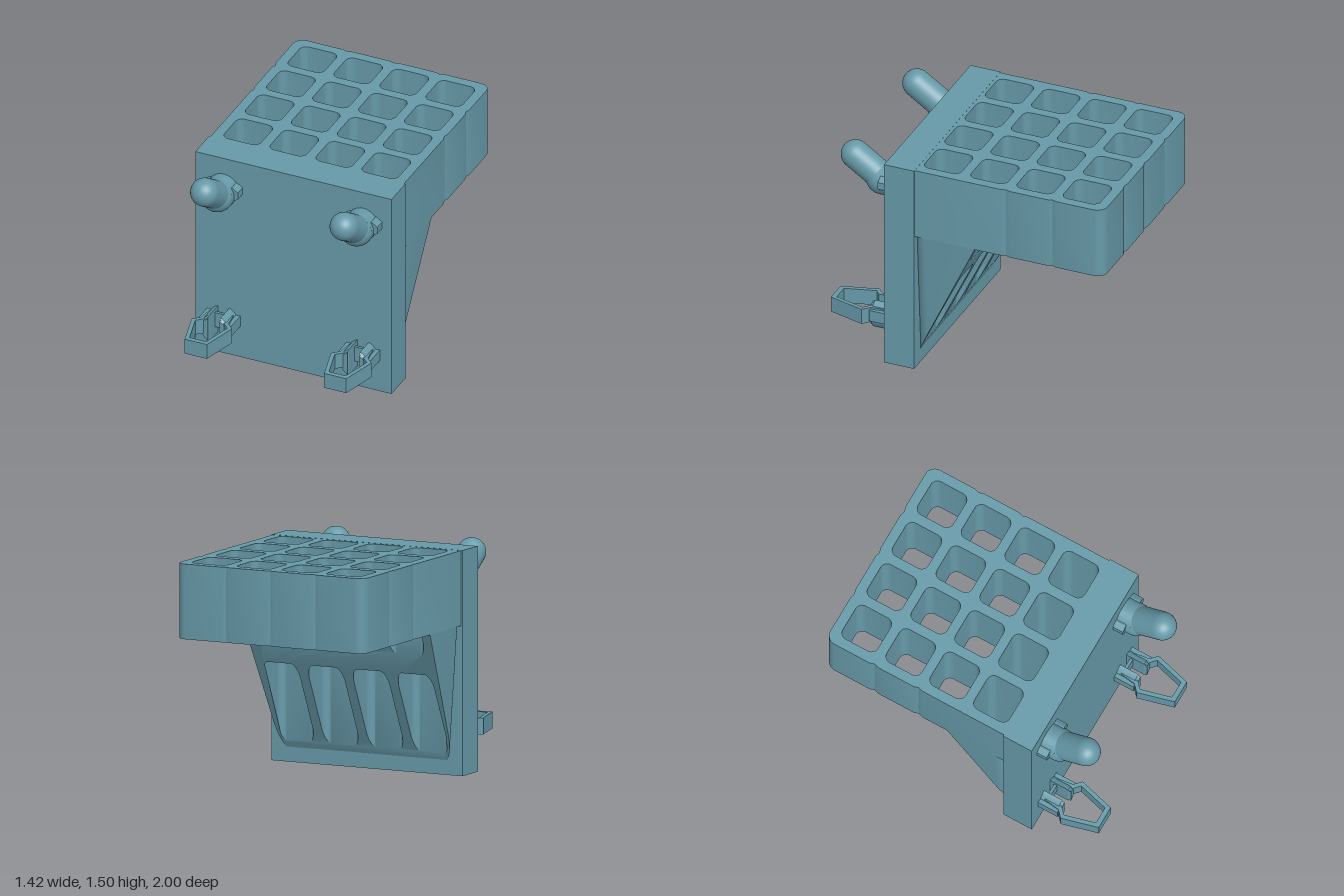
import * as THREE from 'three';
import { toCreasedNormals } from 'three/addons/utils/BufferGeometryUtils.js';

const material = new THREE.MeshStandardMaterial({ color: 0x6699a8 });
const PITCH = 0.333, HOLE = 0.265;
const columns = [-1.5, -0.5, 0.5, 1.5].map(i => i * PITCH);
const rows = [-0.8, -0.468, -0.137, 0.194];

function mesh(name, geometry, x = 0, y = 0, z = 0) {
  const m = new THREE.Mesh(geometry, material);
  m.name = name;
  m.position.set(x, y, z);
  return m;
}

// Extrude an (x, z) plan downwards from y = 0
function extrudeDown(shape, depth) {
  return new THREE.ExtrudeGeometry(shape, { depth, bevelEnabled: false, curveSegments: 8 }).rotateX(Math.PI / 2);
}

function roundedHole(cx, cz, size = HOLE, r = 0.05) {
  const h = size / 2, q = h - r, p = new THREE.Path();
  p.absarc(cx + q, cz + q, r, 0, Math.PI / 2);
  p.absarc(cx - q, cz + q, r, Math.PI / 2, Math.PI);
  p.absarc(cx - q, cz - q, r, Math.PI, Math.PI * 1.5);
  p.absarc(cx + q, cz - q, r, Math.PI * 1.5, Math.PI * 2);
  p.closePath();
  return p;
}

// Holder block: 4 x 4 through holes, shallow grooves where cells meet
function holderBlock() {
  const w = 0.7, back = -1, r = 0.07, g = 0.033, d = 0.01;
  const s = new THREE.Shape();
  s.moveTo(-w, 0.37);
  for (const z of [-0.3, -0.633]) {
    s.lineTo(-w, z + g); s.lineTo(-w + d, z); s.lineTo(-w, z - g);
  }
  s.lineTo(-w, back + r);
  s.absarc(-w + r, back + r, r, Math.PI, Math.PI * 1.5);
  for (const x of [-PITCH, 0, PITCH]) {
    s.lineTo(x - g, back); s.lineTo(x, back + d); s.lineTo(x + g, back);
  }
  s.lineTo(w - r, back);
  s.absarc(w - r, back + r, r, Math.PI * 1.5, Math.PI * 2);
  for (const z of [-0.633, -0.3]) {
    s.lineTo(w, z - g); s.lineTo(w - d, z); s.lineTo(w, z + g);
  }
  s.lineTo(w, 0.37);
  for (const x of columns) for (const z of rows) s.holes.push(roundedHole(x, z));
  return toCreasedNormals(extrudeDown(s, 0.5), 0.5);
}

// Sloped support under the block, tapering inwards as it descends
function supportWedge() {
  const w = 0.7, z0 = -0.08, z1 = 0.37, r = 0.1, h = HOLE / 2, end = rows[2] + h, c = 0.05;
  const s = new THREE.Shape();
  s.moveTo(-w, z0);
  for (const x of columns) {
    s.lineTo(x - h, z0);
    s.lineTo(x - h, end - c);
    s.absarc(x - h + c, end - c, c, Math.PI, Math.PI / 2, true);
    s.absarc(x + h - c, end - c, c, Math.PI / 2, 0, true);
    s.lineTo(x + h, z0);
  }
  s.lineTo(w, z0);
  s.absarc(w - r, z1 - r, r, 0, Math.PI / 2);
  s.absarc(-w + r, z1 - r, r, Math.PI / 2, Math.PI);
  for (const x of columns) s.holes.push(roundedHole(x, rows[3]));

  const geo = extrudeDown(s, 1).translate(0, 1, 0);
  const p = geo.attributes.position;
  for (let i = 0; i < p.count; i++) {
    if (p.getY(i) > 0.5) continue;
    const x = p.getX(i), z = p.getZ(i), t = (z - z0) / 0.43;
    p.setY(i, 1 - 0.9 * t);
    if (Math.abs(x) > 0.64 || z > 0.33) p.setX(i, x - Math.sign(x) * 0.06 * t);
  }
  return toCreasedNormals(geo, 0.5);
}

// Small faceted ears on both sides of a peg
function sideTabs() {
  const s = new THREE.Shape([
    [-0.137, -0.025], [-0.1, -0.05], [0.1, -0.05], [0.137, -0.025],
    [0.137, 0.025], [0.1, 0.05], [-0.1, 0.05], [-0.137, 0.025],
  ].map(([x, y]) => new THREE.Vector2(x, y)));
  return new THREE.ExtrudeGeometry(s, { depth: 0.08, bevelEnabled: false });
}

// Upper peg: short straight base, then a rounded upturned tip
function hookPeg() {
  const g = new THREE.Group();
  g.name = 'hookPeg';
  const base = new THREE.CylinderGeometry(0.11, 0.11, 0.12, 32).rotateX(Math.PI / 2);
  g.add(mesh('hookBase', base, 0, 0, 0.045));
  g.add(mesh('hookElbow', new THREE.SphereGeometry(0.11, 32, 20), 0, 0, 0.1));
  const a = new THREE.Vector3(0, 0.005, 0.1), b = new THREE.Vector3(0, 0.135, 0.295);
  const dir = b.clone().sub(a);
  const tip = mesh('hookTip', new THREE.CapsuleGeometry(0.096, dir.length(), 10, 32));
  tip.position.copy(a).add(b).multiplyScalar(0.5);
  tip.quaternion.setFromUnitVectors(new THREE.Vector3(0, 1, 0), dir.normalize());
  g.add(tip, mesh('hookTabs', sideTabs(), 0, 0.015, -0.005));
  return g;
}

// Lower peg: split round stem with a hollow tapered snap loop
function snapPeg() {
  const g = new THREE.Group();
  g.name = 'snapPeg';
  const a = Math.acos(0.04 / 0.108);
  for (const side of [0, Math.PI]) {
    const s = new THREE.Shape();
    s.absarc(0, 0, 0.108, side - a, side + a);
    s.closePath();
    const stem = new THREE.ExtrudeGeometry(s, {
      depth: 0.14, curveSegments: 16, bevelSize: 0.015, bevelOffset: -0.015, bevelThickness: 0.02, bevelSegments: 1,
    });
    g.add(mesh('snapStem', toCreasedNormals(stem, 0.4), 0, 0, -0.005));
  }
  const outline = (pts) => [...pts, ...pts.map(([x, z]) => [-x, z]).reverse()].map(([x, z]) => new THREE.Vector2(x, z));
  const loop = new THREE.Shape(outline([[0.085, 0.03], [0.1, 0.14], [0.147, 0.185], [0.08, 0.435]]));
  loop.holes.push(new THREE.Path(outline([[0.04, 0.05], [0.07, 0.15], [0.116, 0.192], [0.06, 0.402]])));
  g.add(mesh('snapLoop', extrudeDown(loop, 0.11), 0, 0.073, 0));
  for (const x of [-1, 1]) {
    g.add(mesh('snapTab', new THREE.BoxGeometry(0.04, 0.08, 0.15), x * 0.1, 0.02, 0.07));
  }
  return g;
}

export function createModel() {
  const model = new THREE.Group();
  model.name = 'toolHolder';
  model.add(mesh('backPlate', new THREE.BoxGeometry(1.42, 1.5, 0.215), 0, 0.75, 0.4575));
  model.add(mesh('holderBlock', holderBlock(), 0, 1.499, 0));
  model.add(mesh('supportWedge', supportWedge()));
  for (const x of [-0.505, 0.505]) {
    const hook = hookPeg(), snap = snapPeg();
    hook.position.set(x, 1.27, 0.565);
    snap.position.set(x, 0.255, 0.565);
    model.add(hook, snap);
  }
  return model;
}
